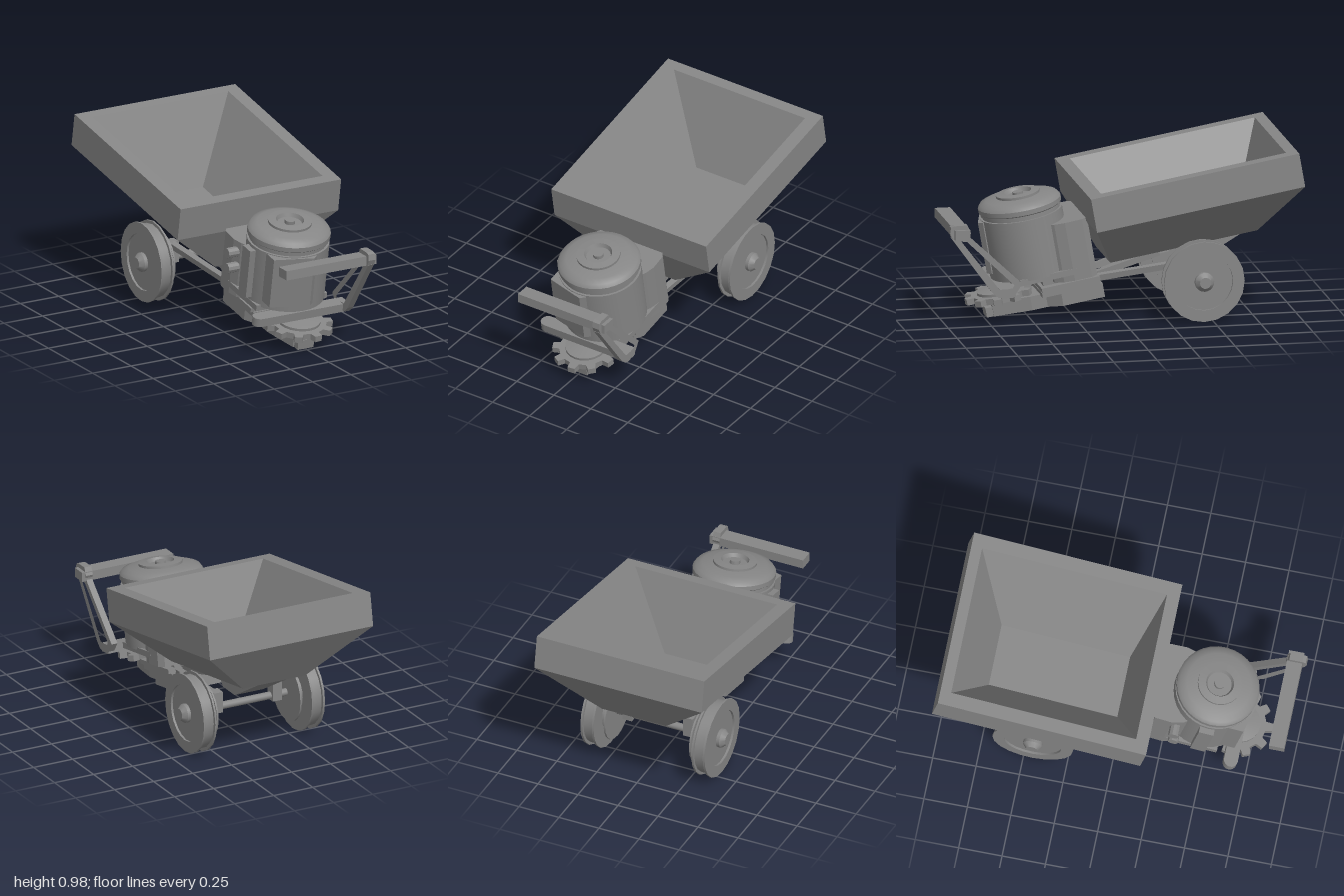
import * as THREE from 'three';
import { toCreasedNormals } from 'three/addons/utils/BufferGeometryUtils.js';

const mat = new THREE.MeshStandardMaterial({ color: 0x868686 });
const flat = new THREE.MeshStandardMaterial({ color: 0x868686, flatShading: true });

function add(parent, name, geo, material = flat) {
  const mesh = new THREE.Mesh(geo, material);
  mesh.name = name;
  parent.add(mesh);
  return mesh;
}

// Box given by its limits on each axis
function box(x0, x1, y0, y1, z0, z1) {
  return new THREE.BoxGeometry(x1 - x0, y1 - y0, z1 - z0)
    .translate((x0 + x1) / 2, (y0 + y1) / 2, (z0 + z1) / 2);
}

function toShape(pts) {
  return new THREE.Shape(pts.map(([a, b]) => new THREE.Vector2(a, b)));
}

// Side outline in (z, y), extruded from x0 to x1
function sideSlab(pts, x0, x1, hole) {
  const shape = toShape(pts);
  if (hole) shape.holes.push(toShape(hole));
  return new THREE.ExtrudeGeometry(shape, { depth: x1 - x0, bevelEnabled: false })
    .rotateY(-Math.PI / 2).translate(x1, 0, 0);
}

// Plan outline in (x, z), extruded from y0 to y1
function planSlab(pts, y0, y1) {
  const shape = toShape(pts.map(([x, z]) => [x, -z]));
  return new THREE.ExtrudeGeometry(shape, { depth: y1 - y0, bevelEnabled: false })
    .rotateX(-Math.PI / 2).translate(0, y0, 0);
}

// Completes a plan outline given for its +x half
function mirrored(half) {
  return [...half, ...half.map(([x, z]) => [-x, z]).reverse()];
}

function lathe(pts, segments) {
  const geo = new THREE.LatheGeometry(pts.map(([r, y]) => new THREE.Vector2(r, y)), segments);
  return toCreasedNormals(geo, 0.6);
}

// Rectangular rings [y, halfWidth, frontZ, backZ] joined in order, closed at both ends
function rectLoft(rings) {
  const loops = rings.map(([y, w, f, b]) => [[-w, y, f], [w, y, f], [w, y, b], [-w, y, b]]);
  const pos = [];
  const quad = (a, b, c, d) => [a, b, c, a, c, d].forEach(p => pos.push(...p));
  for (let i = 0; i < loops.length - 1; i++) {
    for (let k = 0; k < 4; k++) {
      const n = (k + 1) % 4;
      quad(loops[i][k], loops[i][n], loops[i + 1][n], loops[i + 1][k]);
    }
  }
  const first = loops[0], last = loops[loops.length - 1];
  quad(first[3], first[2], first[1], first[0]);
  quad(...last);
  const geo = new THREE.BufferGeometry();
  geo.setAttribute('position', new THREE.Float32BufferAttribute(pos, 3));
  geo.computeVertexNormals();
  return geo;
}

// Square rod between two points
function rod(a, b, t) {
  const from = new THREE.Vector3(...a), to = new THREE.Vector3(...b);
  const dir = to.clone().sub(from);
  const geo = new THREE.BoxGeometry(t, dir.length(), t);
  geo.applyQuaternion(new THREE.Quaternion().setFromUnitVectors(
    new THREE.Vector3(0, 1, 0), dir.clone().normalize()));
  const mid = from.add(to).multiplyScalar(0.5);
  return geo.translate(mid.x, mid.y, mid.z);
}

function makeHopper() {
  return rectLoft([
    [0.33, 0.2, 0.0, -0.86],
    [0.605, 0.523, 0.095, -1.122],
    [0.802, 0.523, 0.095, -1.122],
    [0.802, 0.443, 0.021, -1.06],
    [0.36, 0.183, -0.064, -0.815],
  ]);
}

function makeSprocket(teeth) {
  const pts = [];
  for (let i = 0; i < teeth; i++) {
    for (const [f, r] of [[-0.28, 0.155], [-0.18, 0.195], [0.18, 0.195], [0.28, 0.155]]) {
      const a = ((i + f) / teeth) * Math.PI * 2 + 0.1;
      pts.push([Math.sin(a) * r, Math.cos(a) * r]);
    }
  }
  return planSlab(pts, 0.222, 0.257).translate(0, 0, 0.63);
}

function makeEngine(parent) {
  const engine = new THREE.Group();
  engine.name = 'engine';
  parent.add(engine);
  // Drum with domed cap and recessed top ring
  add(engine, 'engineDrum', lathe([
    [0, 0.305], [0.16, 0.305], [0.17, 0.337], [0.235, 0.337], [0.235, 0.685], [0.222, 0.685], [0.222, 0.7],
    [0.23, 0.7], [0.23, 0.712], [0.237, 0.718], [0.237, 0.745], [0.222, 0.765], [0.185, 0.778],
    [0.125, 0.786], [0.125, 0.8], [0.08, 0.805], [0.07, 0.783], [0.03, 0.783], [0.03, 0.803], [0, 0.803],
  ], 32).translate(0.005, 0, 0.42), mat);
  // Angled panel on the front of the drum
  add(engine, 'frontPanel', planSlab(
    [[-0.2, 0.62], [0.03, 0.678], [0.06, 0.655], [0, 0.52], [-0.2, 0.52]], 0.378, 0.68));
  add(engine, 'rearHousing', planSlab(mirrored(
    [[0.18, 0.33], [0.215, 0.28], [0.23, 0.22], [0.226, 0.12], [0.2, 0.085]]), 0.28, 0.622));
  add(engine, 'sidePlate', box(-0.263, -0.2, 0.372, 0.667, 0.375, 0.46));
  // Side bolts
  for (const [y, z] of [[0.555, 0.248], [0.465, 0.262]]) {
    add(engine, 'sideBolt', new THREE.CylinderGeometry(0.03, 0.03, 0.07, 10)
      .rotateZ(Math.PI / 2).translate(-0.25, y, z));
  }
  for (const s of [-1, 1]) {
    add(engine, 'sideRail', box(-0.03, 0.03, 0.315, 0.35, 0.2, 0.53).translate(s * 0.2, 0, 0));
  }
}

function makeChassis(parent) {
  const chassis = new THREE.Group();
  chassis.name = 'chassis';
  parent.add(chassis);
  add(chassis, 'bottomCase', planSlab(mirrored(
    [[0.06, 0.685], [0.107, 0.47], [0.107, 0.38], [0.16, 0.3], [0.16, 0.057]]).reverse(), 0.132, 0.212));
  add(chassis, 'caseLip', box(-0.052, 0.052, 0.132, 0.187, 0.65, 0.725));
  // Stacked bed plates under the engine
  add(chassis, 'lowerBedPlate', box(-0.17, 0.17, 0.205, 0.235, 0.07, 0.41));
  add(chassis, 'upperBedPlate', box(-0.19, 0.19, 0.24, 0.265, 0.07, 0.41));
  add(chassis, 'bedRiser', box(-0.14, 0.14, 0.21, 0.33, 0.09, 0.39));
  // Drawbars spreading to the axle
  for (const s of [-1, 1]) {
    add(chassis, 'drawbar', rod([s * 0.12, 0.245, 0.1], [s * 0.2, 0.235, -0.47], 0.035));
    add(chassis, 'strut', rod([s * 0.08, 0.25, 0.1], [s * 0.1, 0.305, -0.3], 0.035));
  }
}

function makeSprocketDrive(parent) {
  add(parent, 'sprocket', makeSprocket(10));
  add(parent, 'sprocketHub', lathe(
    [[0, 0.2], [0.06, 0.2], [0.06, 0.222], [0.12, 0.25], [0.12, 0.272], [0.04, 0.285], [0, 0.285]],
    20).translate(0, 0, 0.63), mat);
  // Cross lever with a rounded end
  add(parent, 'lowerBar', box(-0.26, 0.3, 0.285, 0.335, 0.58, 0.66));
  add(parent, 'lowerBarEnd', new THREE.CylinderGeometry(0.04, 0.04, 0.05, 16).translate(-0.26, 0.31, 0.62), mat);
}

function makeHandle(parent) {
  const handle = new THREE.Group();
  handle.name = 'handle';
  parent.add(handle);
  // Open side arm and cross grip
  add(handle, 'handleArm', sideSlab(
    [[0.99, 0.53], [0.756, 0.206], [0.72, 0.175], [0.635, 0.172], [0.584, 0.25], [0.885, 0.533]],
    0.262, 0.3, [[0.935, 0.512], [0.715, 0.222], [0.64, 0.222], [0.63, 0.245], [0.902, 0.508]]));
  add(handle, 'handleKnuckle', sideSlab(
    [[0.985, 0.525], [1.0, 0.56], [0.995, 0.595], [0.975, 0.603], [0.9, 0.605], [0.88, 0.56], [0.895, 0.525]],
    0.26, 0.304));
  add(handle, 'gripBar', box(-0.26, 0.325, 0.525, 0.58, 0.887, 0.975));
}

function makeWheels(parent) {
  // Flanged wheel with a dished face, stepped back and cone hub
  const profile = [
    [0, 0.262], [0.172, 0.262], [0.172, 0.272], [0.12, 0.272], [0.12, 0.305], [0.232, 0.305], [0.232, 0.316],
    [0.214, 0.316], [0.214, 0.376], [0.232, 0.376], [0.232, 0.388], [0.165, 0.388], [0.165, 0.375],
    [0.055, 0.375], [0.055, 0.395], [0.032, 0.421], [0, 0.421],
  ];
  for (const s of [-1, 1]) {
    const wheel = add(parent, s > 0 ? 'leftWheel' : 'rightWheel', lathe(profile, 20), mat);
    wheel.rotation.z = -s * Math.PI / 2;
    wheel.position.set(0, 0.233, -0.447);
    add(parent, 'axleBlock', box(-0.03, 0.03, 0.205, 0.33, -0.48, -0.415).translate(s * 0.19, 0, 0));
  }
  add(parent, 'axle', new THREE.CylinderGeometry(0.022, 0.022, 0.56, 12)
    .rotateZ(Math.PI / 2).translate(0, 0.233, -0.447), mat);
  // Pedestal under the hopper floor
  add(parent, 'hopperPedestal', sideSlab(
    [[-0.28, 0.38], [-0.35, 0.3], [-0.49, 0.3], [-0.61, 0.37], [-0.77, 0.465], [-0.77, 0.49], [-0.28, 0.4]],
    -0.09, 0.09));
}

export function createModel() {
  const model = new THREE.Group();
  model.name = 'hopperCart';
  // Body pitched nose-down about the axle line
  const body = new THREE.Group();
  body.name = 'body';
  body.rotation.x = THREE.MathUtils.degToRad(10);
  model.add(body);
  add(body, 'hopper', makeHopper());
  makeEngine(body);
  makeChassis(body);
  makeSprocketDrive(body);
  makeHandle(model);
  makeWheels(model);
  return model;
}
